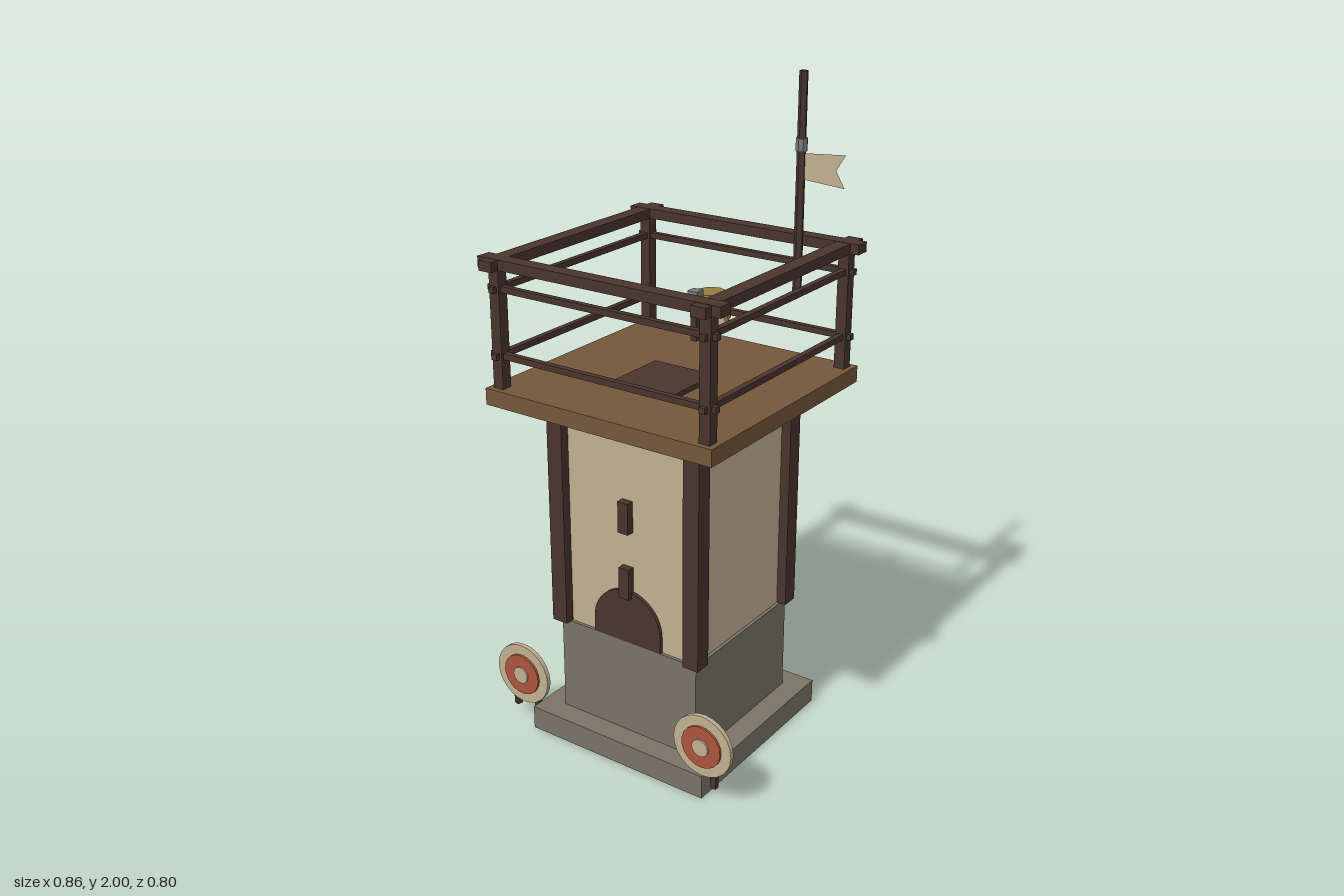
import * as THREE from 'three';

const mat = (name, color) => {
  const m = new THREE.MeshStandardMaterial({ color });
  m.name = name;
  return m;
};

export function createModel() {
  const group = new THREE.Group();
  const stone = mat('stone', 0x797367);
  const plaster = mat('plaster', 0xc0b090);
  const darkWood = mat('darkWood', 0x49352e);
  const wood = mat('wood', 0x74573b);
  const brass = mat('brass', 0x977b3c);
  const red = mat('red', 0xab543d);
  const metal = mat('metal', 0x77797a);
  const cloth = mat('cloth', 0xc0b090);
  cloth.side = THREE.DoubleSide;

  const add = (name, geometry, material, x, y, z) => {
    const m = new THREE.Mesh(geometry, material);
    m.name = name;
    m.position.set(x, y, z);
    group.add(m);
    return m;
  };
  // Box given by its bottom and top heights
  const box = (name, material, w, d, y0, y1, x = 0, z = 0) =>
    add(name, new THREE.BoxGeometry(w, y1 - y0, d), material, x, (y0 + y1) / 2, z);
  // Faceted cylinder
  const drum = (name, material, r0, r1, y0, y1, x, z, n) => {
    const g = new THREE.CylinderGeometry(r1, r0, y1 - y0, n).toNonIndexed();
    g.computeVertexNormals();
    return add(name, g, material, x, (y0 + y1) / 2, z);
  };

  // Tower body
  box('plinth', stone, 0.63, 0.63, 0, 0.075);
  box('stoneBase', stone, 0.49, 0.49, 0.075, 0.38);
  box('plasterWalls', plaster, 0.47, 0.47, 0.38, 1.09);
  box('platform', wood, 0.768, 0.768, 1.09, 1.14);
  box('hatch', darkWood, 0.208, 0.208, 1.14, 1.155, 0, 0.058);

  // Corner timbers and railing posts
  for (const sx of [-1, 1]) for (const sz of [-1, 1]) {
    box('cornerTimber', darkWood, 0.053, 0.053, 0.38, 1.09, sx * 0.239, sz * 0.239);
    box('railPost', darkWood, 0.034, 0.034, 1.14, 1.5, sx * 0.35, sz * 0.35);
  }

  // Railings on all four sides
  for (const s of [-1, 1]) {
    box('topRail', darkWood, 0.8, 0.046, 1.49, 1.52, 0, s * 0.35);
    box('topRail', darkWood, 0.046, 0.8, 1.489, 1.519, s * 0.35, 0);
    for (const y of [1.228, 1.423]) {
      box('thinRail', darkWood, 0.76, 0.018, y, y + 0.018, 0, s * 0.35);
      box('thinRail', darkWood, 0.018, 0.76, y, y + 0.018, s * 0.35, 0);
    }
  }

  // Arched door and wall slits
  const arch = new THREE.Shape();
  arch.moveTo(-0.12, 0.38);
  arch.lineTo(0.12, 0.38);
  arch.lineTo(0.12, 0.43);
  arch.absarc(0, 0.43, 0.12, 0, Math.PI, false);
  arch.closePath();
  add('door', new THREE.ExtrudeGeometry(arch, { depth: 0.012, bevelEnabled: false, curveSegments: 12 }),
    darkWood, 0, 0, 0.234);
  for (const y of [0.53, 0.74]) box('wallSlit', darkWood, 0.036, 0.025, y, y + 0.098, 0, 0.247);

  // Bell
  drum('bell', brass, 0.06, 0.046, 1.27, 1.35, 0, -0.183, 8);

  // Swallow-tailed pennant, starting at its pole edge
  const pennant = (name, x, y, z, w, h) => {
    const s = new THREE.Shape([[0, -0.4], [1, -0.5], [0.78, 0], [1, 0.5], [0, 0.4]]
      .map(([u, v]) => new THREE.Vector2(u * w, v * h)));
    return add(name, new THREE.ShapeGeometry(s), cloth, x, y, z);
  };

  // Flagpole
  drum('flagPole', darkWood, 0.014, 0.013, 1.37, 2, 0.253, -0.243, 5);
  drum('flagPoleCollar', metal, 0.017, 0.017, 1.782, 1.818, 0.253, -0.243, 8);
  pennant('flag', 0.265, 1.74, -0.243, 0.127, 0.092);

  // Small signal post
  box('signalPost', darkWood, 0.018, 0.018, 1.355, 1.48, 0.217, 0.217);
  box('signalCap', metal, 0.03, 0.03, 1.467, 1.492, 0.217, 0.217);
  box('signalBand', brass, 0.024, 0.024, 1.435, 1.46, 0.217, 0.217);
  pennant('signalFlag', 0.226, 1.442, 0.217, 0.095, 0.066);

  // Round targets with their two stakes
  const disc = (name, material, r, z0, z1, x) => {
    const m = add(name, new THREE.CylinderGeometry(r, r, z1 - z0, 24), material, x, 0.2, (z0 + z1) / 2);
    m.rotation.x = Math.PI / 2;
  };
  for (const x of [-0.332, 0.332]) {
    disc('targetBoard', plaster, 0.098, 0.326, 0.34, x);
    disc('targetRing', red, 0.066, 0.34, 0.347, x);
    disc('targetCentre', plaster, 0.027, 0.347, 0.352, x);
    box('targetStake', darkWood, 0.017, 0.017, 0.02, 0.2, x, 0.272);
    box('targetStake', darkWood, 0.018, 0.018, 0.04, 0.197, x - 0.074, 0.283).rotation.y = -0.3;
  }
  return group;
}
